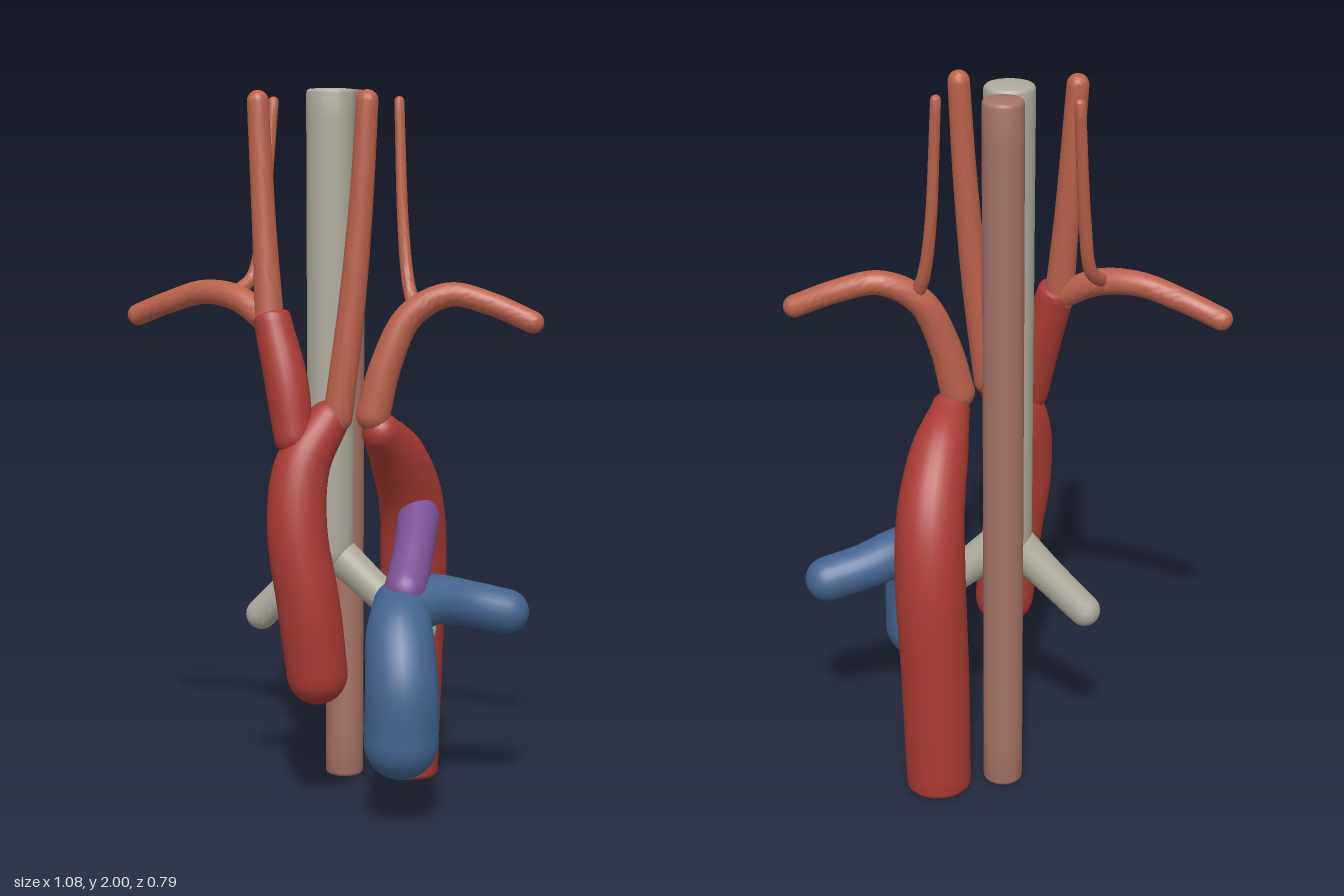
import * as THREE from 'three';
import { toCreasedNormals } from 'three/addons/utils/BufferGeometryUtils.js';

const SIDES = 24;
const mat = (name, color) => {
  const m = new THREE.MeshStandardMaterial({ color });
  m.name = name;
  return m;
};

// Closed tube through [x, y, z, radius] points; each end is a dome or a flat cap with a small bevel.
function vessel(points, startCap = 'round', endCap = 'round') {
  const path = new THREE.CatmullRomCurve3(points.map(p => new THREE.Vector3(p[0], p[1], p[2])));
  const radii = new THREE.CatmullRomCurve3(points.map(p => new THREE.Vector3(p[3], 0, 0)), false, 'catmullrom');
  const steps = (points.length - 1) * 9;
  const rings = [];
  const normal = new THREE.Vector3(0.31, 0.17, 0.93);

  const addRing = (center, tangent, r) => {
    normal.addScaledVector(tangent, -normal.dot(tangent)).normalize();
    rings.push({ center, r, u: normal.clone(), v: tangent.clone().cross(normal) });
  };
  const addCap = (t, style, atStart) => {
    const c = path.getPoint(t), tan = path.getTangent(t), r = radii.getPoint(t).x;
    const bevel = style === 'round' ? r : 0.012;
    const n = style === 'round' ? 7 : 3;
    for (let k = 1; k <= n; k++) {
      const a = (atStart ? n + 1 - k : k) / n * Math.PI / 2;
      const offset = Math.sin(a) * bevel * (atStart ? -1 : 1);
      addRing(c.clone().addScaledVector(tan, offset), tan, r - bevel * (1 - Math.cos(a)));
    }
  };

  addCap(0, startCap, true);
  for (let i = 0; i <= steps; i++) {
    const t = i / steps;
    addRing(path.getPoint(t), path.getTangent(t), radii.getPoint(t).x);
  }
  addCap(1, endCap, false);

  const pos = [], index = [];
  for (const { center, r, u, v } of rings) {
    for (let s = 0; s < SIDES; s++) {
      const a = s / SIDES * Math.PI * 2;
      const p = center.clone().addScaledVector(u, r * Math.cos(a)).addScaledVector(v, r * Math.sin(a));
      pos.push(p.x, p.y, p.z);
    }
  }
  for (let i = 0; i < rings.length - 1; i++) {
    for (let s = 0; s < SIDES; s++) {
      const a = i * SIDES + s, b = i * SIDES + (s + 1) % SIDES;
      index.push(a, b, a + SIDES, b, b + SIDES, a + SIDES);
    }
  }
  // Close both ends with a fan
  const first = pos.length / 3, last = first + 1, top = (rings.length - 1) * SIDES;
  for (const ring of [rings[0], rings[rings.length - 1]]) pos.push(...ring.center.toArray());
  for (let s = 0; s < SIDES; s++) {
    const n = (s + 1) % SIDES;
    index.push(first, n, s, last, top + s, top + n);
  }
  const geo = new THREE.BufferGeometry();
  geo.setAttribute('position', new THREE.Float32BufferAttribute(pos, 3));
  geo.setIndex(index);
  return toCreasedNormals(geo, 0.75);
}

export function createModel() {
  const model = new THREE.Group();
  model.name = 'greatVessels';
  const red = mat('aortaRed', 0xaa3b33);
  const orange = mat('arteryOrange', 0xba614a);
  const blue = mat('pulmonaryBlue', 0x42648f);
  const purple = mat('ductPurple', 0x7a4f94);
  const grey = mat('airwayGrey', 0xaeaa9d);
  const brown = mat('gulletBrown', 0xa57266);

  const add = (name, material, points, startCap, endCap) => {
    const mesh = new THREE.Mesh(vessel(points, startCap, endCap), material);
    mesh.name = name;
    model.add(mesh);
  };

  // Windpipe with its two branches, and the gullet behind
  add('trachea', grey, [[0.005, 0.7, -0.13, 0.066], [0.005, 1.3, -0.13, 0.067], [0.005, 1.988, -0.13, 0.068]], 'round', 'flat');
  add('rightBronchus', grey, [[0, 0.7, -0.13, 0.055], [-0.09, 0.59, -0.195, 0.048], [-0.175, 0.49, -0.255, 0.045]]);
  add('leftBronchus', grey, [[0.01, 0.7, -0.13, 0.055], [0.12, 0.59, -0.07, 0.048], [0.24, 0.48, -0.005, 0.045]]);
  add('oesophagus', brown, [[0.072, 0.012, -0.25, 0.055], [0.073, 1, -0.25, 0.055], [0.075, 1.988, -0.25, 0.055]], 'flat', 'flat');

  // Aorta: ascending part, arch end with descending part, and the short trunk on the right
  add('ascendingAorta', red, [
    [-0.08, 0.388, 0.09, 0.085], [-0.105, 0.58, 0.098, 0.087], [-0.135, 0.8, 0.085, 0.083],
    [-0.115, 0.97, 0.06, 0.077], [-0.04, 1.09, 0.045, 0.058]]);
  add('descendingAorta', red, [
    [0.12, 1.05, 0.01, 0.055], [0.185, 0.97, -0.07, 0.08], [0.245, 0.83, -0.15, 0.093],
    [0.266, 0.65, -0.195, 0.097], [0.26, 0.35, -0.208, 0.095], [0.253, 0.012, -0.21, 0.091]], 'round', 'flat');
  add('brachiocephalicTrunk', red, [
    [-0.137, 1.05, 0.05, 0.055], [-0.152, 1.2, 0.02, 0.06], [-0.182, 1.372, -0.03, 0.052]], 'round', 'flat');

  // Neck arteries
  add('rightCarotid', orange, [
    [-0.187, 1.35, -0.035, 0.041], [-0.196, 1.6, -0.06, 0.034], [-0.208, 1.965, -0.09, 0.03]]);
  add('leftCarotid', orange, [
    [-0.015, 1.1, 0.058, 0.041], [0.025, 1.42, 0.062, 0.037], [0.05, 1.7, 0.064, 0.033], [0.066, 1.965, 0.065, 0.03]]);

  // Arm arteries
  add('rightSubclavian', orange, [
    [-0.19, 1.36, -0.04, 0.036], [-0.26, 1.42, -0.13, 0.037], [-0.34, 1.433, -0.22, 0.034],
    [-0.43, 1.4, -0.3, 0.032], [-0.51, 1.36, -0.37, 0.031]]);
  add('leftSubclavian', orange, [
    [0.095, 1.1, 0.015, 0.048], [0.13, 1.24, 0.022, 0.044], [0.195, 1.375, 0.03, 0.039],
    [0.3, 1.435, 0.06, 0.034], [0.41, 1.41, 0.11, 0.032], [0.51, 1.363, 0.165, 0.031]]);

  // Thin vertebral arteries
  add('rightVertebral', orange, [
    [-0.265, 1.43, -0.155, 0.02], [-0.205, 1.48, -0.195, 0.018], [-0.17, 1.64, -0.225, 0.017], [-0.132, 1.965, -0.265, 0.015]]);
  add('leftVertebral', orange, [
    [0.208, 1.4, 0.025, 0.02], [0.2, 1.47, -0.01, 0.018], [0.194, 1.62, -0.045, 0.016], [0.19, 1.965, -0.08, 0.014]]);

  // Pulmonary trunk, its left branch and the connecting duct
  add('pulmonaryTrunk', blue, [
    [0.113, 0.235, 0.285, 0.103], [0.115, 0.39, 0.282, 0.1], [0.125, 0.51, 0.215, 0.094], [0.15, 0.575, 0.13, 0.08]]);
  add('leftPulmonaryArtery', blue, [
    [0.15, 0.57, 0.14, 0.08], [0.25, 0.587, 0.105, 0.071], [0.35, 0.57, 0.095, 0.065], [0.46, 0.545, 0.11, 0.063]]);
  add('arterialDuct', purple, [
    [0.25, 0.79, -0.075, 0.06], [0.21, 0.715, 0.03, 0.058], [0.16, 0.625, 0.14, 0.06]]);

  return model;
}
